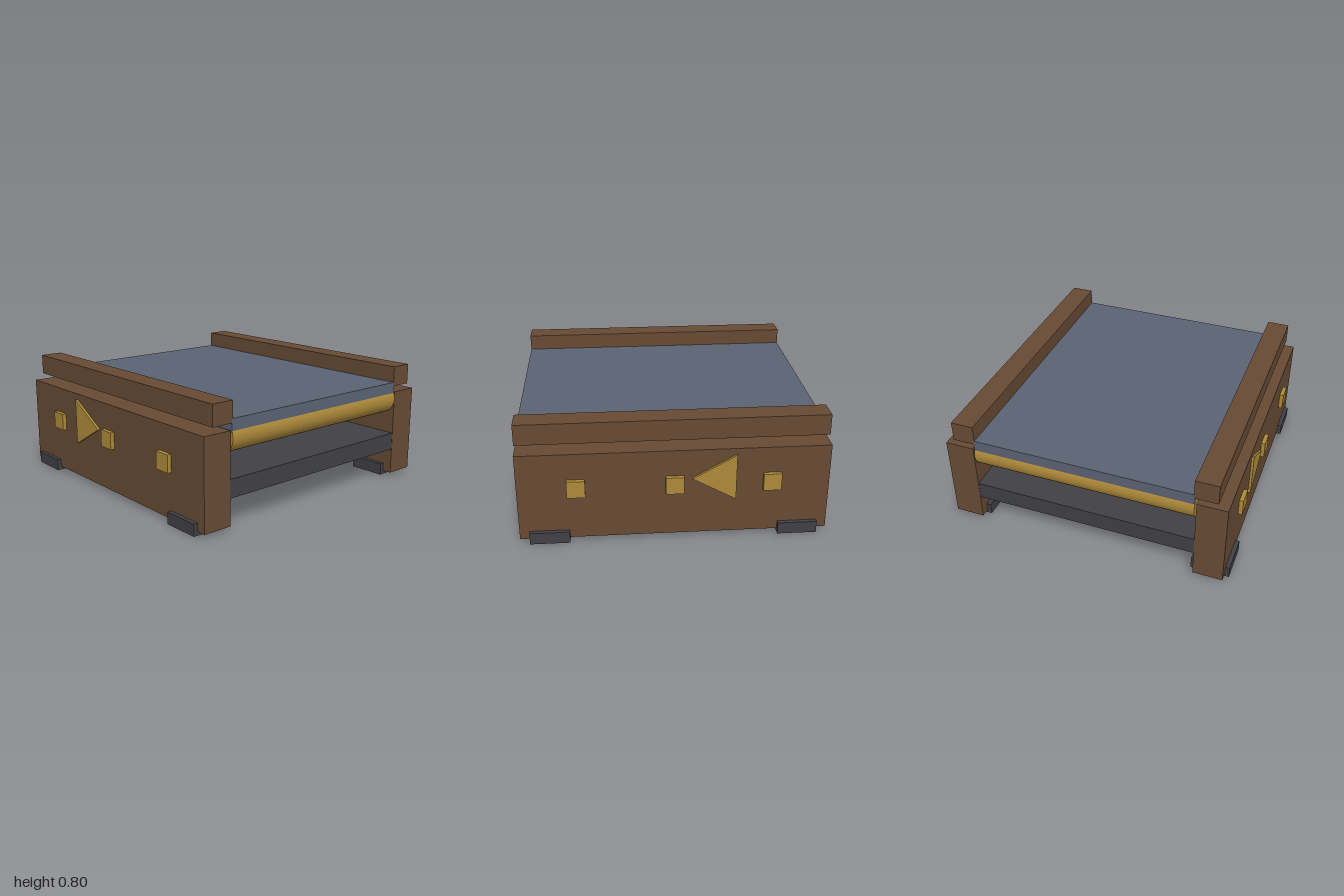
import * as THREE from 'three';

const material = (name, color) => {
  const m = new THREE.MeshStandardMaterial({ color });
  m.name = name;
  return m;
};

export function createModel() {
  const group = new THREE.Group();
  const wood = material('brown wood', 0x664a34);
  const brass = material('brass', 0xad8a3a);
  const beltBlue = material('slate belt', 0x5a6273);
  const iron = material('dark iron', 0x404045);

  const add = (name, geometry, mat, x = 0, y = 0, z = 0) => {
    const mesh = new THREE.Mesh(geometry, mat);
    mesh.name = name;
    mesh.position.set(x, y, z);
    group.add(mesh);
    return mesh;
  };
  // Box given by its lower and upper limits on each axis
  const box = (name, mat, [x0, x1], [y0, y1], [z0, z1]) =>
    add(name, new THREE.BoxGeometry(Math.abs(x1 - x0), y1 - y0, z1 - z0), mat,
      (x0 + x1) / 2, (y0 + y1) / 2, (z0 + z1) / 2);

  // Belt and the tray below it
  box('belt', beltBlue, [-0.75, 0.75], [0.6, 0.69], [-0.99, 0.99]);
  box('lowerTray', iron, [-0.762, 0.762], [0.2, 0.32], [-0.988, 0.988]);

  // Rollers under both belt ends
  for (const z of [-0.895, 0.895]) {
    const geometry = new THREE.CylinderGeometry(0.105, 0.105, 1.5, 32).rotateZ(Math.PI / 2);
    add('roller', geometry, brass, 0, 0.57, z);
  }

  // Direction arrow, pointing to the front
  const arrow = new THREE.Shape([
    new THREE.Vector2(0.11, 0.425),
    new THREE.Vector2(0.39, 0.268),
    new THREE.Vector2(0.39, 0.582),
  ]);
  const arrowGeometry = new THREE.ExtrudeGeometry(arrow, { depth: 0.03, bevelEnabled: false })
    .rotateY(Math.PI / 2);

  for (const s of [-1, 1]) {
    // Side wall and guard rail
    box('sideWall', wood, [s * 0.76, s * 0.96], [0.025, 0.62], [-0.99, 0.99]);
    box('guardRail', wood, [s * 0.742, s * 0.897], [0.662, 0.8], [-0.99, 0.99]);
    // Feet
    for (const z of [-0.798, 0.798]) {
      box('foot', iron, [s * 0.73, s * 0.988], [0, 0.08], [z - 0.128, z + 0.128]);
    }
    // Square studs
    for (const z of [-0.62, 0, 0.62]) {
      box('stud', brass, [s * 0.95, s * 0.988], [0.327, 0.443], [z - 0.058, z + 0.058]);
    }
    add('arrow', arrowGeometry, brass, s > 0 ? 0.947 : -0.977);
  }
  return group;
}
